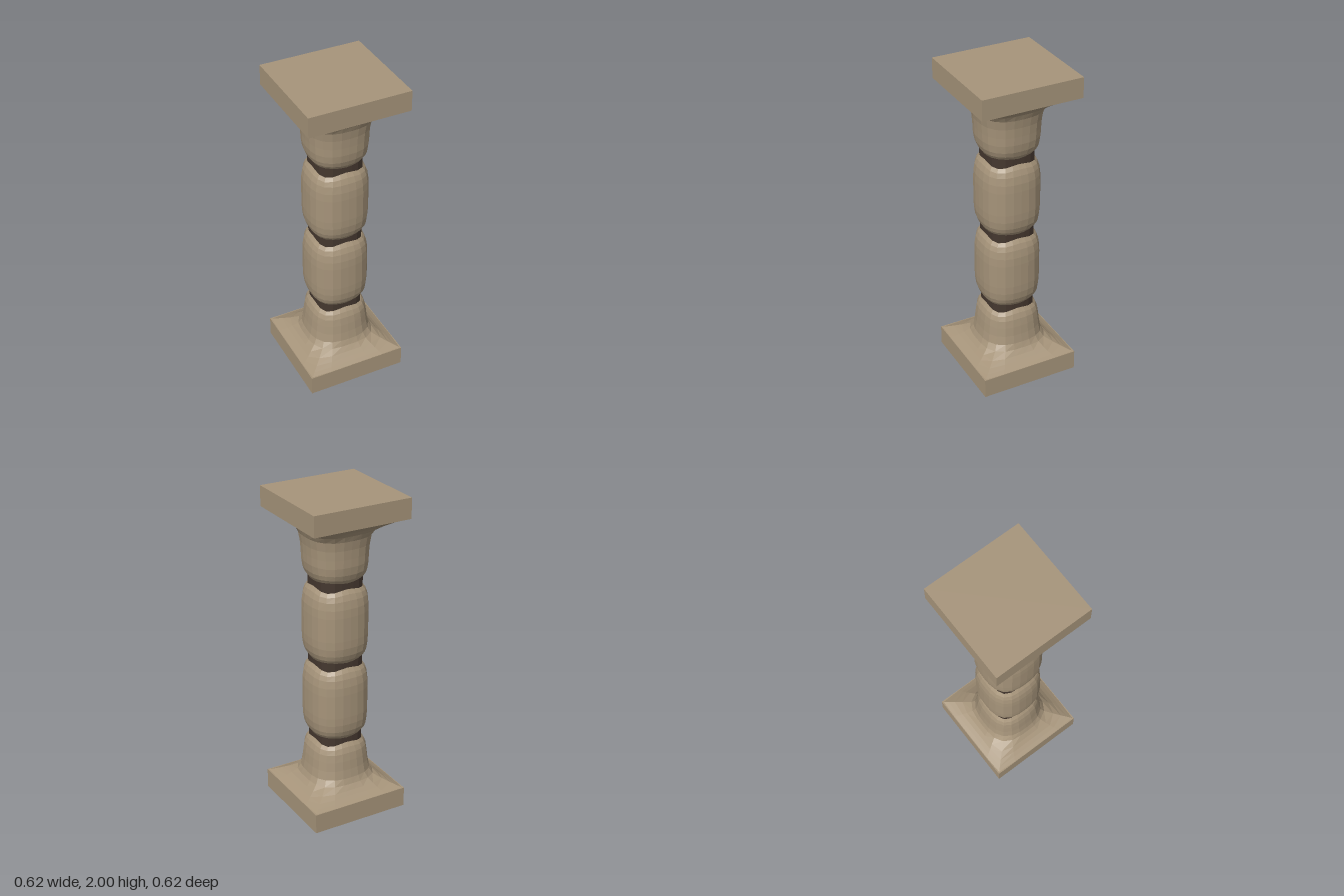
import * as THREE from 'three';

const SIDES = 24;

// Faceted solid lofted through superellipse rings: [y, half width, squareness, corner lift]
function loft(rings) {
  const pos = [], index = [];
  for (const [y, w, n, lift = 0] of rings) {
    for (let i = 0; i < SIDES; i++) {
      const a = (i / SIDES) * Math.PI * 2;
      const c = Math.cos(a), s = Math.sin(a);
      const r = w / Math.pow(Math.abs(c) ** n + Math.abs(s) ** n, 1 / n);
      pos.push(r * s, y + lift * Math.sin(2 * a) ** 2, r * c);
    }
  }
  for (let j = 0; j < rings.length - 1; j++) {
    for (let i = 0; i < SIDES; i++) {
      const k = (i + 1) % SIDES;
      const a = j * SIDES + i, b = j * SIDES + k;
      index.push(a, b, b + SIDES, a, b + SIDES, a + SIDES);
    }
  }
  // End caps
  const top = (rings.length - 1) * SIDES;
  pos.push(0, rings[0][0], 0, 0, rings[rings.length - 1][0], 0);
  const centre = rings.length * SIDES;
  for (let i = 0; i < SIDES; i++) {
    const k = (i + 1) % SIDES;
    index.push(centre, k, i, centre + 1, top + i, top + k);
  }
  const g = new THREE.BufferGeometry();
  g.setAttribute('position', new THREE.Float32BufferAttribute(pos, 3));
  g.setIndex(index);
  const flat = g.toNonIndexed();
  flat.computeVertexNormals();
  return flat;
}

// Rounded shoulder: [distance from the end, half width, squareness, corner dip]
const SHOULDER = [
  [0, 0.144, 3.5, 0.014],
  [0.025, 0.161, 3.1, 0.010],
  [0.06, 0.174, 2.8, 0.004],
  [0.11, 0.182, 2.67, 0],
  [0.16, 0.184, 2.67, 0],
];
// Flare from the shaft to the square slab: [distance from slab, half width, squareness]
const FLARE = [
  [0, 0.308, 40],
  [0.012, 0.285, 30],
  [0.027, 0.26, 16],
  [0.047, 0.235, 7],
  [0.075, 0.211, 3.2],
  [0.11, 0.197, 2.7],
  [0.165, 0.188, 2.67],
];

const shoulderUp = (y) => SHOULDER.map(([d, w, n, l]) => [y + d, w, n, l]);
const shoulderDown = (y) => SHOULDER.map(([d, w, n, l]) => [y - d, w, n, -l]).reverse();
const flareUp = (y) => FLARE.map(([d, w, n]) => [y + d, w, n]);
const flareDown = (y) => FLARE.map(([d, w, n]) => [y - d, w, n]).reverse();

export function createModel() {
  const stone = new THREE.MeshStandardMaterial({ color: 0xa6947a });
  stone.name = 'sandstone';
  const dark = new THREE.MeshStandardMaterial({ color: 0x45382f });
  dark.name = 'dark groove';

  const group = new THREE.Group();
  group.name = 'column';
  const add = (name, geometry, material, y = 0) => {
    const mesh = new THREE.Mesh(geometry, material);
    mesh.name = name;
    mesh.position.y = y;
    group.add(mesh);
  };

  // Square slabs at both ends
  const slab = new THREE.BoxGeometry(0.624, 0.125, 0.624);
  add('baseSlab', slab, stone, 0.0625);
  add('topSlab', slab, stone, 1.9375);

  // Shaft: flared foot, two barrels, flared capital
  const foot = shoulderDown(0.457).filter(([y]) => y > 0.3);
  add('flaredFoot', loft([...flareUp(0.125), ...foot]), stone);
  add('lowerBarrel', loft([...shoulderUp(0.489), ...shoulderDown(0.958)]), stone);
  add('upperBarrel', loft([...shoulderUp(0.99), ...shoulderDown(1.457)]), stone);
  add('flaredCapital', loft([...shoulderUp(1.493), ...flareDown(1.875)]), stone);

  // Dark recessed bands between the shaft sections
  for (const y of [0.473, 0.974, 1.475]) {
    add('grooveBand', loft([[-0.036, 0.143, 3.5], [0.036, 0.143, 3.5]]), dark, y);
  }
  return group;
}
